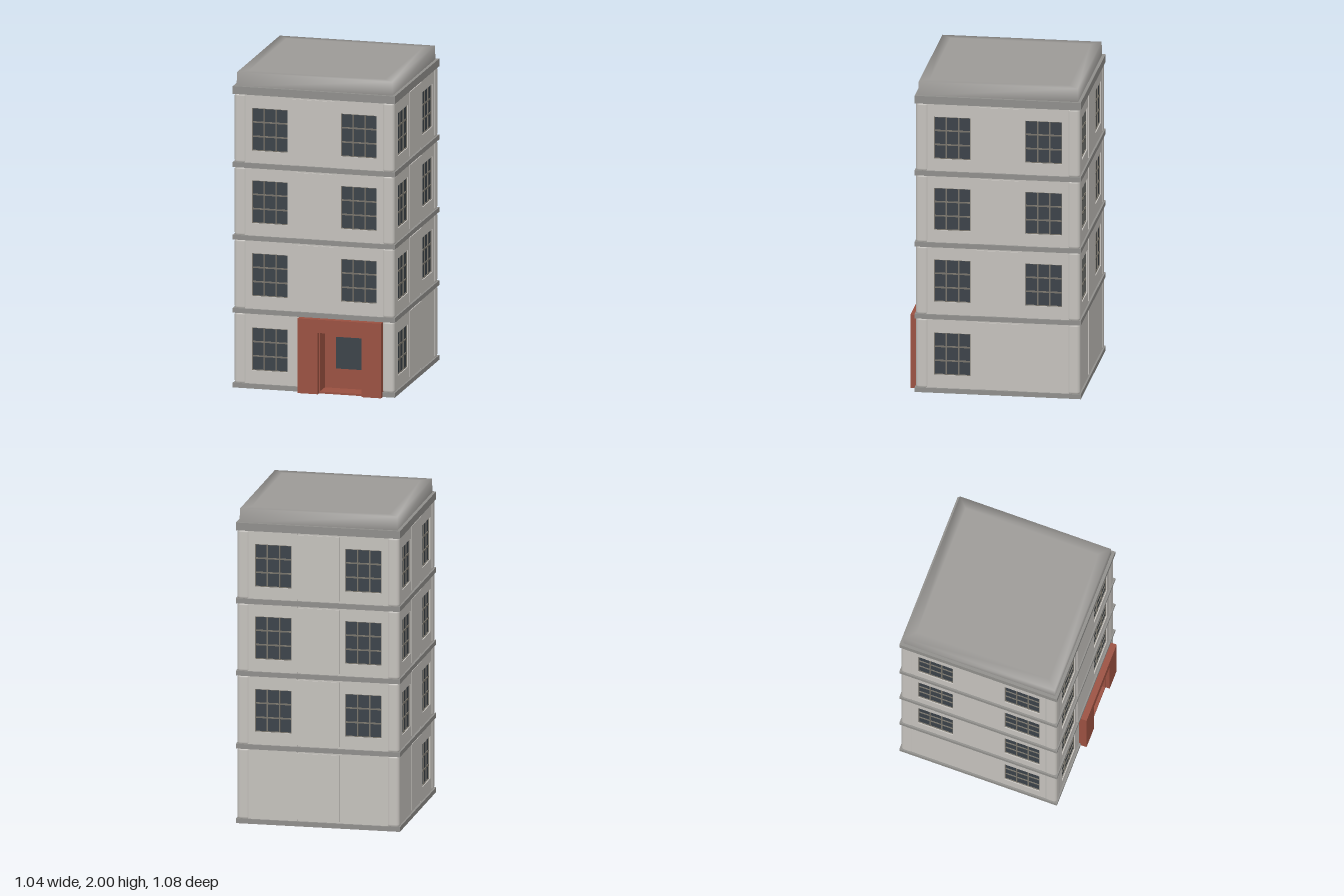
import * as THREE from 'three';
import { RoundedBoxGeometry } from 'three/addons/geometries/RoundedBoxGeometry.js';

const mat = (name, color) => Object.assign(new THREE.MeshStandardMaterial({ color }), { name });

export function createModel() {
  const wall = mat('wall stone', 0xc4c1bc);
  const ledgeMat = mat('ledge stone', 0x8f8e8b);
  const roofMat = mat('roof', 0x9c9a97);
  const glass = mat('window glass', 0x3a4148);
  const barMat = mat('window bars', 0x77736a);
  const brick = mat('door red', 0x9a5040);

  const model = new THREE.Group();
  model.name = 'apartmentBlock';
  const building = new THREE.Group();
  building.name = 'building';
  building.position.set(-0.006, 0, -0.017);
  model.add(building);

  const add = (parent, name, geo, material, x = 0, y = 0, z = 0) => {
    const m = new THREE.Mesh(geo, material);
    m.name = name;
    m.position.set(x, y, z);
    parent.add(m);
    return m;
  };
  const box = (parent, name, material, x0, x1, y0, y1, z0, z1) =>
    add(parent, name, new THREE.BoxGeometry(x1 - x0, y1 - y0, z1 - z0), material,
      (x0 + x1) / 2, (y0 + y1) / 2, (z0 + z1) / 2);
  const rect = (Type, x0, x1, y0, y1) =>
    new Type().moveTo(x0, y0).lineTo(x1, y0).lineTo(x1, y1).lineTo(x0, y1).closePath();

  // square floor plan with a notch in the front for the doorway
  const DOOR = { x0: 0.036, x1: 0.316, z: 0.41, top: 0.39 };
  const notched = (h, height) => {
    const s = new THREE.Shape();
    [[-h, h], [-h, -h], [DOOR.x0, -h], [DOOR.x0, -DOOR.z], [DOOR.x1, -DOOR.z], [DOOR.x1, -h], [h, -h], [h, h]]
      .forEach(([x, y], i) => (i ? s.lineTo(x, y) : s.moveTo(x, y)));
    s.closePath();
    return new THREE.ExtrudeGeometry(s, { depth: height, bevelEnabled: false }).rotateX(-Math.PI / 2);
  };

  // inner core
  const CORE = 0.49, FACE = 0.508;
  add(building, 'groundCore', notched(CORE, 0.475), wall);
  box(building, 'upperCore', wall, -CORE, CORE, 0.475, 1.9, -CORE, CORE);

  // ledges between the floors
  add(building, 'baseLedge', notched(0.519, 0.03), ledgeMat);
  const L = 0.519;
  for (const [y0, y1] of [[0.475, 0.505], [0.94, 0.97], [1.4, 1.432], [1.865, 1.914]])
    box(building, 'ledge', ledgeMat, -L, L, y0, y1, -L, L);

  // window: recessed pane with a grid of bars
  const WW = 0.23, WH = 0.272;
  const addWindow = (parent, x, y) => {
    const g = new THREE.Group();
    g.name = 'window';
    g.position.set(x, y, CORE);
    parent.add(g);
    box(g, 'pane', glass, -WW / 2, WW / 2, -WH / 2, WH / 2, 0, 0.006);
    for (const t of [-0.5, -1 / 6, 1 / 6, 0.5]) {
      add(g, 'uprightBar', new THREE.BoxGeometry(0.009, WH, 0.006), barMat, t * WW, 0, 0.008);
      add(g, 'crossBar', new THREE.BoxGeometry(WW, 0.009, 0.006), barMat, 0, t * WH, 0.008);
    }
  };

  // wall bay, with an opening when it holds a window
  const addBay = (parent, x0, x1, y0, y1, wx, wy) => {
    const s = rect(THREE.Shape, x0, x1, y0, y1);
    if (wy) {
      s.holes.push(rect(THREE.Path, wx - WW / 2, wx + WW / 2, wy - WH / 2, wy + WH / 2));
      addWindow(parent, wx, wy);
    }
    add(parent, 'wallBay', new THREE.ExtrudeGeometry(s, { depth: FACE - CORE, bevelEnabled: false }), wall, 0, 0, CORE);
  };

  const floors = [[0.03, 0.475, 0.25], [0.505, 0.94, 0.722], [0.97, 1.4, 1.185], [1.432, 1.865, 1.645]];
  // ground-floor windows on each side, as [-u bay, +u bay]
  const groundWindows = [[true, false], [true, false], [false, false], [false, true]];

  // four facades: front, right, back, left
  for (let f = 0; f < 4; f++) {
    const facade = new THREE.Group();
    facade.name = ['frontFacade', 'eastFacade', 'backFacade', 'westFacade'][f];
    facade.rotation.y = f * Math.PI / 2;
    building.add(facade);
    floors.forEach(([y0, y1, wy], i) => {
      if (f === 0 && i === 0) {
        addBay(facade, -0.46, -0.08, y0, y1, -0.285, wy);
        return;
      }
      for (const [k, s] of [-1, 1].entries()) {
        const has = i > 0 || groundWindows[f][k];
        addBay(facade, s < 0 ? -0.46 : 0.13, s < 0 ? -0.13 : 0.46, y0, y1, s * 0.285, has ? wy : 0);
      }
      box(facade, 'middlePanel', wall, -0.137, 0.137, y0 + 0.012, y1 - 0.012, CORE, 0.512);
      box(facade, 'middleBacking', wall, -0.14, 0.14, y0, y1, CORE, 0.505);
    });
  }

  // rounded corner pillars on every floor
  for (const [y0, y1] of floors)
    for (const sx of [-1, 1])
      for (const sz of [-1, 1])
        add(building, 'cornerPillar', new RoundedBoxGeometry(0.08, y1 - y0 + 0.02, 0.08, 3, 0.022), wall,
          sx * 0.473, (y0 + y1) / 2, sz * 0.473);

  // softly shaded parapet: outer foot, outer rim and inner rim share normals
  const rings = [[0.5, 1.91], [0.497, 2.0], [0.436, 2.0]];
  const pos = [], idx = [];
  for (const [h, y] of rings) pos.push(-h, y, h, h, y, h, h, y, -h, -h, y, -h);
  for (let r = 0; r < 2; r++)
    for (let i = 0; i < 4; i++) {
      const a = r * 4 + i, b = r * 4 + (i + 1) % 4;
      idx.push(a, b, b + 4, a, b + 4, a + 4);
    }
  const parapet = new THREE.BufferGeometry();
  parapet.setAttribute('position', new THREE.Float32BufferAttribute(pos, 3));
  parapet.setIndex(idx);
  parapet.computeVertexNormals();
  add(building, 'parapet', parapet, roofMat);
  add(building, 'roof', new THREE.PlaneGeometry(0.872, 0.872).rotateX(-Math.PI / 2), roofMat, 0, 2, 0);

  // red doorway: surround, reveal lining and door
  const door = new THREE.Group();
  door.name = 'doorway';
  building.add(door);
  const { x0, x1, z, top } = DOOR;
  const surround = new THREE.Shape();
  [[-0.094, 0], [x0, 0], [x0, top], [x1, top], [x1, 0], [0.441, 0], [0.441, 0.474], [-0.094, 0.474]]
    .forEach(([x, y], i) => (i ? surround.lineTo(x, y) : surround.moveTo(x, y)));
  surround.closePath();
  add(door, 'doorSurround', new THREE.ExtrudeGeometry(surround, { depth: 0.077, bevelEnabled: false }), brick, 0, 0, 0.48);
  box(door, 'leftReveal', brick, x0, x0 + 0.006, 0, top, z, 0.53);
  box(door, 'rightReveal', brick, x1 - 0.006, x1, 0, top, z, 0.53);
  box(door, 'topReveal', brick, x0, x1, top - 0.006, 0.47, z, 0.53);
  box(door, 'threshold', brick, x0, x1, 0, 0.012, z, 0.53);
  box(door, 'doorBack', brick, x0, x1, 0, top, z - 0.005, z + 0.004);
  box(door, 'doorLeaf', brick, 0.078, 0.304, 0.02, 0.36, z, z + 0.014);
  box(door, 'doorGlass', glass, 0.118, 0.288, 0.14, 0.34, z + 0.013, z + 0.019);

  return model;
}
